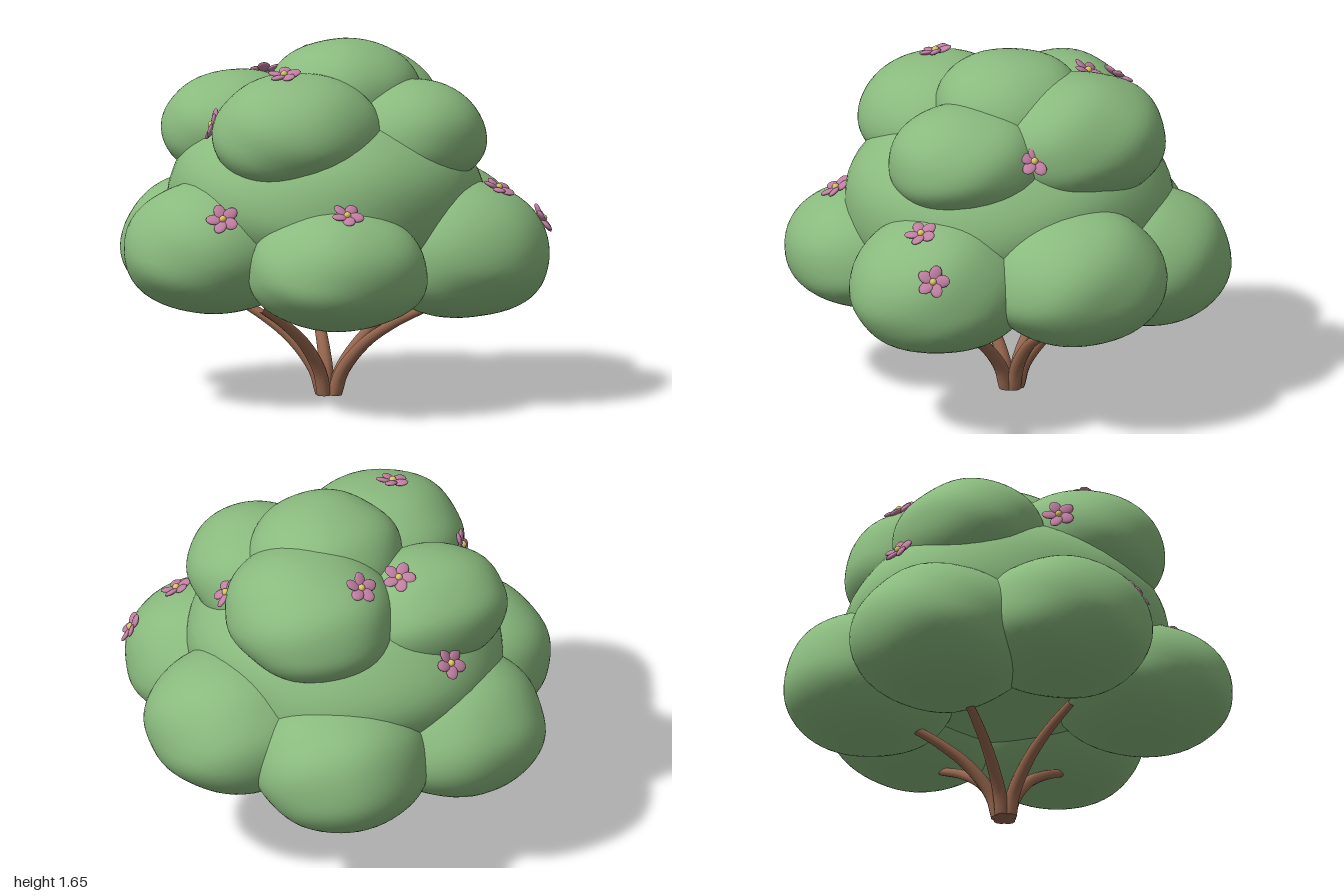
import * as THREE from 'three';
import { mergeVertices } from 'three/addons/utils/BufferGeometryUtils.js';

const material = (name, color) => {
  const m = new THREE.MeshStandardMaterial({ color });
  m.name = name;
  return m;
};

// Foliage clumps: centre, radii in x and z, height above and depth below the centre
const CLUMPS = {
  core:            { c: [-0.03, 0.92, 0.0],   rx: 0.70, rz: 0.755, up: 0.46, down: 0.42 },
  lowerRight:      { c: [-0.60, 0.69, -0.08], rx: 0.40, rz: 0.41, up: 0.34, down: 0.27 },
  lowerLeft:       { c: [0.60, 0.70, -0.06],  rx: 0.40, rz: 0.42, up: 0.34, down: 0.28 },
  lowerFrontRight: { c: [-0.34, 0.64, 0.54],  rx: 0.40, rz: 0.41, up: 0.31, down: 0.25 },
  lowerFrontLeft:  { c: [0.36, 0.66, 0.52],   rx: 0.40, rz: 0.41, up: 0.36, down: 0.27 },
  lowerBackRight:  { c: [-0.29, 0.65, -0.53], rx: 0.41, rz: 0.42, up: 0.34, down: 0.29 },
  lowerBackLeft:   { c: [0.31, 0.65, -0.52],  rx: 0.40, rz: 0.40, up: 0.34, down: 0.29 },
  upperFrontRight: { c: [-0.33, 1.24, 0.20],  rx: 0.39, rz: 0.38, up: 0.29, down: 0.26 },
  upperFrontLeft:  { c: [0.22, 1.21, 0.31],   rx: 0.345, rz: 0.37, up: 0.27, down: 0.24 },
  upperBackLeft:   { c: [0.28, 1.26, -0.20],  rx: 0.375, rz: 0.42, up: 0.31, down: 0.26 },
  upperBackRight:  { c: [-0.25, 1.22, -0.36], rx: 0.37, rz: 0.325, up: 0.26, down: 0.25 },
  crown:           { c: [0.06, 1.38, 0.03],   rx: 0.35, rz: 0.35, up: 0.265, down: 0.20 },
};

// Point on a clump: a slightly boxy, gently lumpy ellipsoid
const POWER = 2.1;
function clumpPoint(clump, { x, y, z }, seed) {
  const boxy = (Math.abs(x) ** POWER + Math.abs(y) ** POWER + Math.abs(z) ** POWER) ** (-1 / POWER);
  const lump = 1 + 0.012 * Math.sin(5 * x + seed * 1.7) * Math.cos(4 * z - seed)
    + 0.010 * Math.sin(6 * y + 5 * z + seed * 2.3);
  const k = boxy * lump;
  return [
    clump.c[0] + x * k * clump.rx,
    clump.c[1] + y * k * (y > 0 ? clump.up : clump.down),
    clump.c[2] + z * k * clump.rz,
  ];
}

function clumpGeometry(clump, seed) {
  let g = new THREE.IcosahedronGeometry(1, 9);
  g.deleteAttribute('uv');
  g.deleteAttribute('normal');
  g = mergeVertices(g, 1e-4);
  const pos = g.attributes.position;
  const v = new THREE.Vector3();
  for (let i = 0; i < pos.count; i++) {
    v.fromBufferAttribute(pos, i).normalize();
    pos.setXYZ(i, ...clumpPoint(clump, v, seed));
  }
  g.computeVertexNormals();
  return g;
}

// Tapered tube along a curve
function branchGeometry(curve, r0, r1) {
  const rings = 16, sides = 10;
  const g = new THREE.TubeGeometry(curve, rings, 1, sides, false);
  const pos = g.attributes.position;
  const v = new THREE.Vector3();
  for (let i = 0; i < pos.count; i++) {
    const t = Math.floor(i / (sides + 1)) / rings;
    const p = curve.getPointAt(t);
    v.fromBufferAttribute(pos, i).sub(p).multiplyScalar(r0 + (r1 - r0) * t).add(p);
    pos.setXYZ(i, v.x, Math.max(0, v.y), v.z);
  }
  return g;
}

// Stems: direction in degrees around the base (from +x towards +z) and reach
const STEMS = [[0, 0.52], [65, 0.52], [170, 0.44], [-123, 0.50], [-66, 0.46]];

// Flowers: position and facing direction
const FLOWERS = [
  [[-0.06, 1.48, -0.42], [0.25, 0.85, -0.4]],
  [[0.17, 1.48, -0.44], [-0.1, 0.8, -0.6]],
  [[-0.17, 1.11, -0.69], [-0.15, 0.6, -0.75]],
  [[-0.40, 1.51, 0.20], [-0.2, 0.95, 0.15]],
  [[0.54, 1.29, 0.12], [0.74, 0.62, 0.2]],
  [[-0.63, 1.30, -0.12], [-0.75, 0.3, -0.55]],
  [[0.47, 0.97, 0.65], [0.25, 0.9, 0.35]],
  [[0.69, 0.83, 0.69], [0.72, 0.5, 0.45]],
  [[-0.40, 0.92, 0.69], [-0.15, 0.85, 0.5]],
  [[-0.76, 0.89, 0.22], [-0.5, 0.6, 0.6]],
];

export function createModel() {
  const model = new THREE.Group();
  model.name = 'floweringBush';
  const leaf = material('leafGreen', 0x8aba7e);
  const bark = material('barkBrown', 0x96664e);
  const petalPink = material('petalPink', 0xc07fa2);
  const pollen = material('pollenYellow', 0xdcc765);

  // Foliage
  const foliage = new THREE.Group();
  foliage.name = 'foliage';
  Object.entries(CLUMPS).forEach(([name, clump], i) => {
    const mesh = new THREE.Mesh(clumpGeometry(clump, i), leaf);
    mesh.name = name + 'Clump';
    foliage.add(mesh);
  });
  model.add(foliage);

  // Five stems fanning out from the ground
  const stems = new THREE.Group();
  stems.name = 'stems';
  stems.position.x = -0.01;
  for (const [degrees, reach] of STEMS) {
    const a = THREE.MathUtils.degToRad(degrees);
    const at = (r, y) => new THREE.Vector3(r * Math.cos(a), y, r * Math.sin(a));
    const path = [[0.03, 0], [0.13 * reach, 0.11], [0.36 * reach, 0.25], [0.66 * reach, 0.355], [reach, 0.44]];
    const curve = new THREE.CatmullRomCurve3(path.map(([r, y]) => at(r, y)));
    const stem = new THREE.Mesh(branchGeometry(curve, 0.035, 0.018), bark);
    stem.name = 'stem';
    // Cut end on the ground
    const end = new THREE.Mesh(new THREE.CircleGeometry(0.034, 10), bark);
    end.name = 'stemEnd';
    end.rotation.x = Math.PI / 2;
    end.position.copy(at(0.03, 0.001));
    stems.add(stem, end);
  }
  model.add(stems);

  // Flowers: five cupped petals round a yellow centre, seated on the foliage
  const petalGeo = new THREE.SphereGeometry(1, 12, 8).scale(0.037, 0.011, 0.029);
  const centreGeo = new THREE.SphereGeometry(0.017, 10, 8);
  const up = new THREE.Vector3(0, 1, 0);
  FLOWERS.forEach(([place, facing], i) => {
    const normal = new THREE.Vector3(...facing).normalize();
    const start = new THREE.Vector3(...place).addScaledVector(normal, 0.2);
    const ray = new THREE.Raycaster(start, normal.clone().negate());
    const [hit] = ray.intersectObject(foliage, true);
    const flower = new THREE.Group();
    flower.name = 'flower';
    flower.position.copy(hit.point).addScaledVector(normal, 0.009);
    flower.quaternion.setFromUnitVectors(up, normal);
    for (let k = 0; k < 5; k++) {
      const pivot = new THREE.Group();
      pivot.name = 'petalPivot';
      pivot.rotation.y = (k / 5) * Math.PI * 2 + i * 0.7;
      const petal = new THREE.Mesh(petalGeo, petalPink);
      petal.name = 'petal';
      petal.position.set(0.042, 0.004, 0);
      petal.rotation.set(0.2, 0, 0.15);
      pivot.add(petal);
      flower.add(pivot);
    }
    const centre = new THREE.Mesh(centreGeo, pollen);
    centre.name = 'flowerCentre';
    centre.position.y = 0.007;
    flower.add(centre);
    model.add(flower);
  });
  return model;
}
